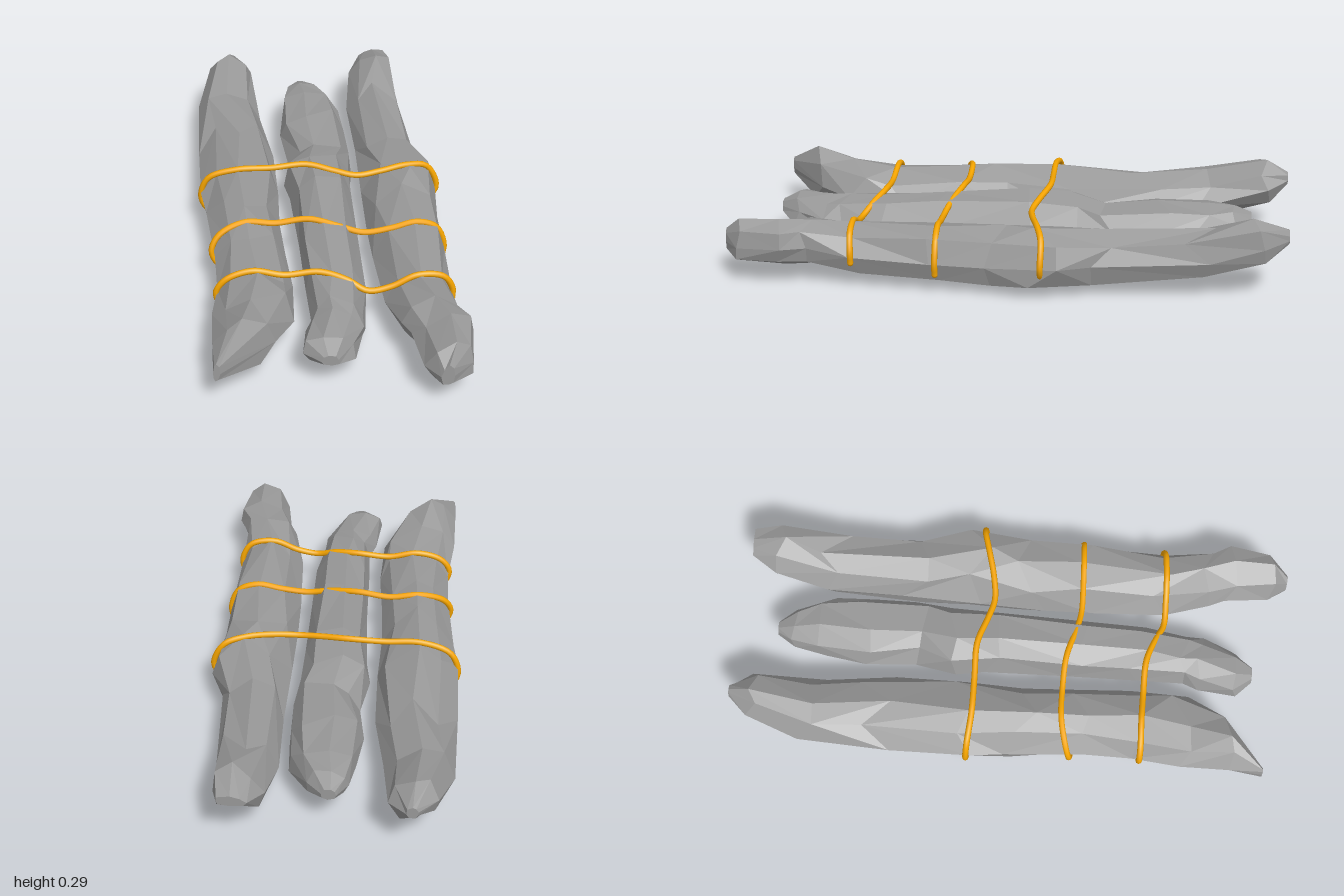
import * as THREE from 'three';

const wood = new THREE.MeshStandardMaterial({ color: 0x999999, flatShading: true });
const cord = new THREE.MeshStandardMaterial({ color: 0xf7a600 });

function seeded(seed) {
  return () => (seed = (seed * 16807) % 2147483647) / 2147483647;
}

// Rough log: an uneven outline (0..1 each way, counter-clockwise) fitted into
// rings [z, xMin, xMax, yMin, yMax], jittered and joined into flat facets
function makeLog(name, outline, rings, seed) {
  const rnd = seeded(seed), pos = [], idx = [];
  const sides = outline.length, n = rings.length;
  const wobble = s => (rnd() - 0.5) * s;
  rings.forEach(([z, x0, x1, y0, y1], k) => {
    const pts = outline.map(([x, y]) => [x + wobble(0.09), y + wobble(0.09)]);
    const xs = pts.map(p => p[0]), ys = pts.map(p => p[1]);
    const ax = Math.min(...xs), bx = Math.max(...xs), ay = Math.min(...ys), by = Math.max(...ys);
    // inner rings are staggered along the log, the ends stay put
    const inner = k > 0 && k < n - 1;
    const gap = inner ? Math.min(z - rings[k - 1][0], rings[k + 1][0] - z) : 0;
    for (const [x, y] of pts) {
      pos.push(x0 + (x - ax) / (bx - ax) * (x1 - x0), y0 + (y - ay) / (by - ay) * (y1 - y0), z + wobble(gap * 0.6));
    }
  });
  for (let k = 0; k < n - 1; k++) for (let i = 0; i < sides; i++) {
    const a = k * sides + i, b = k * sides + (i + 1) % sides, c = a + sides, d = b + sides;
    if (rnd() < 0.5) idx.push(a, b, c, b, d, c);
    else idx.push(a, b, d, a, d, c);
  }
  // end caps
  for (let i = 1; i < sides - 1; i++) {
    const e = (n - 1) * sides;
    idx.push(0, i + 1, i, e, e + i, e + i + 1);
  }
  const g = new THREE.BufferGeometry();
  g.setAttribute('position', new THREE.Float32BufferAttribute(pos, 3));
  g.setIndex(idx);
  const flat = g.toNonIndexed();
  flat.computeVertexNormals();
  const mesh = new THREE.Mesh(flat, wood);
  mesh.name = name;
  return mesh;
}

// Cord draped over the three logs, with both ends tucked under the outer ones
function makeRope(name, points) {
  const curve = new THREE.CatmullRomCurve3(points.map(p => new THREE.Vector3(...p)));
  const group = new THREE.Group();
  group.name = name;
  group.add(new THREE.Mesh(new THREE.TubeGeometry(curve, 64, 0.011, 8), cord));
  for (const p of [points[0], points[points.length - 1]]) {
    const end = new THREE.Mesh(new THREE.SphereGeometry(0.011, 8, 6), cord);
    end.position.set(...p);
    group.add(end);
  }
  return group;
}

export function createModel() {
  const model = new THREE.Group();
  model.name = 'logRaft';

  model.add(makeLog('rightLog',
    [[1, 0.42], [0.86, 0.82], [0.5, 1], [0.18, 0.9], [0, 0.58], [0.07, 0.27], [0.28, 0], [0.72, 0.1]], [
    [-1.0, -0.31, -0.27, 0.20, 0.245],
    [-0.91, -0.375, -0.21, 0.13, 0.288],
    [-0.7, -0.43, -0.19, 0.05, 0.235],
    [-0.48, -0.442, -0.155, 0.03, 0.22],
    [-0.15, -0.445, -0.155, 0.02, 0.238],
    [0.05, -0.43, -0.165, 0.0, 0.235],
    [0.28, -0.41, -0.16, 0.02, 0.22],
    [0.48, -0.41, -0.148, 0.03, 0.215],
    [0.63, -0.435, -0.16, 0.045, 0.23],
    [0.79, -0.44, -0.23, 0.065, 0.264],
    [0.925, -0.443, -0.42, 0.11, 0.18]], 17));

  model.add(makeLog('middleLog',
    [[1, 0.15], [0.97, 0.55], [0.78, 0.92], [0.4, 1], [0.1, 0.82], [0, 0.42], [0.15, 0.15], [0.55, 0]], [
    [-0.86, -0.04, 0.01, 0.14, 0.185],
    [-0.8, -0.08, 0.06, 0.10, 0.21],
    [-0.69, -0.10, 0.13, 0.06, 0.22],
    [-0.55, -0.12, 0.138, 0.045, 0.22],
    [-0.34, -0.10, 0.14, 0.03, 0.205],
    [-0.23, -0.13, 0.125, 0.025, 0.235],
    [-0.05, -0.115, 0.11, 0.02, 0.245],
    [0.22, -0.105, 0.105, 0.02, 0.22],
    [0.47, -0.105, 0.105, 0.03, 0.2],
    [0.63, -0.1, 0.085, 0.045, 0.193],
    [0.69, -0.125, 0.07, 0.05, 0.19],
    [0.82, -0.145, 0.03, 0.075, 0.18],
    [0.88, -0.09, -0.03, 0.11, 0.15]], 91));

  model.add(makeLog('leftLog',
    [[0.94, 0.12], [1, 0.45], [0.9, 0.84], [0.55, 1], [0.2, 0.8], [0, 0.4], [0.1, 0.05], [0.6, 0]], [
    [-0.98, 0.24, 0.34, 0.21, 0.25],
    [-0.88, 0.19, 0.36, 0.12, 0.288],
    [-0.68, 0.16, 0.37, 0.06, 0.235],
    [-0.37, 0.165, 0.39, 0.03, 0.22],
    [-0.14, 0.155, 0.44, 0.02, 0.235],
    [0.05, 0.15, 0.415, 0.015, 0.225],
    [0.27, 0.15, 0.41, 0.02, 0.217],
    [0.53, 0.16, 0.395, 0.04, 0.212],
    [0.69, 0.195, 0.385, 0.06, 0.225],
    [0.8, 0.22, 0.425, 0.07, 0.235],
    [0.94, 0.24, 0.40, 0.08, 0.23],
    [1.0, 0.285, 0.33, 0.10, 0.18]], 45));

  model.add(makeRope('backRope', [
    [-0.39, 0.045, -0.14], [-0.425, 0.07, -0.14], [-0.445, 0.125, -0.14], [-0.415, 0.205, -0.135],
    [-0.31, 0.242, -0.125], [-0.18, 0.242, -0.125], [-0.05, 0.25, -0.125], [0.05, 0.235, -0.095],
    [0.13, 0.223, -0.075], [0.22, 0.23, -0.085], [0.32, 0.235, -0.11], [0.4, 0.213, -0.13],
    [0.44, 0.12, -0.13], [0.405, 0.066, -0.13]]));
  model.add(makeRope('middleRope', [
    [-0.365, 0.058, 0.235], [-0.4, 0.08, 0.235], [-0.42, 0.135, 0.23], [-0.39, 0.19, 0.215],
    [-0.3, 0.224, 0.195], [-0.19, 0.212, 0.193], [-0.07, 0.227, 0.2], [0.04, 0.207, 0.23],
    [0.12, 0.188, 0.245], [0.22, 0.2, 0.245], [0.31, 0.219, 0.242], [0.38, 0.193, 0.24],
    [0.412, 0.12, 0.24], [0.408, 0.075, 0.24]]));
  model.add(makeRope('frontRope', [
    [-0.375, 0.06, 0.485], [-0.402, 0.09, 0.485], [-0.415, 0.14, 0.485], [-0.38, 0.19, 0.485],
    [-0.29, 0.218, 0.482], [-0.18, 0.196, 0.485], [-0.06, 0.205, 0.49], [0.03, 0.188, 0.52],
    [0.1, 0.158, 0.55], [0.18, 0.172, 0.553], [0.27, 0.212, 0.55], [0.36, 0.198, 0.545],
    [0.395, 0.14, 0.54], [0.395, 0.1, 0.54]]));

  return model;
}
